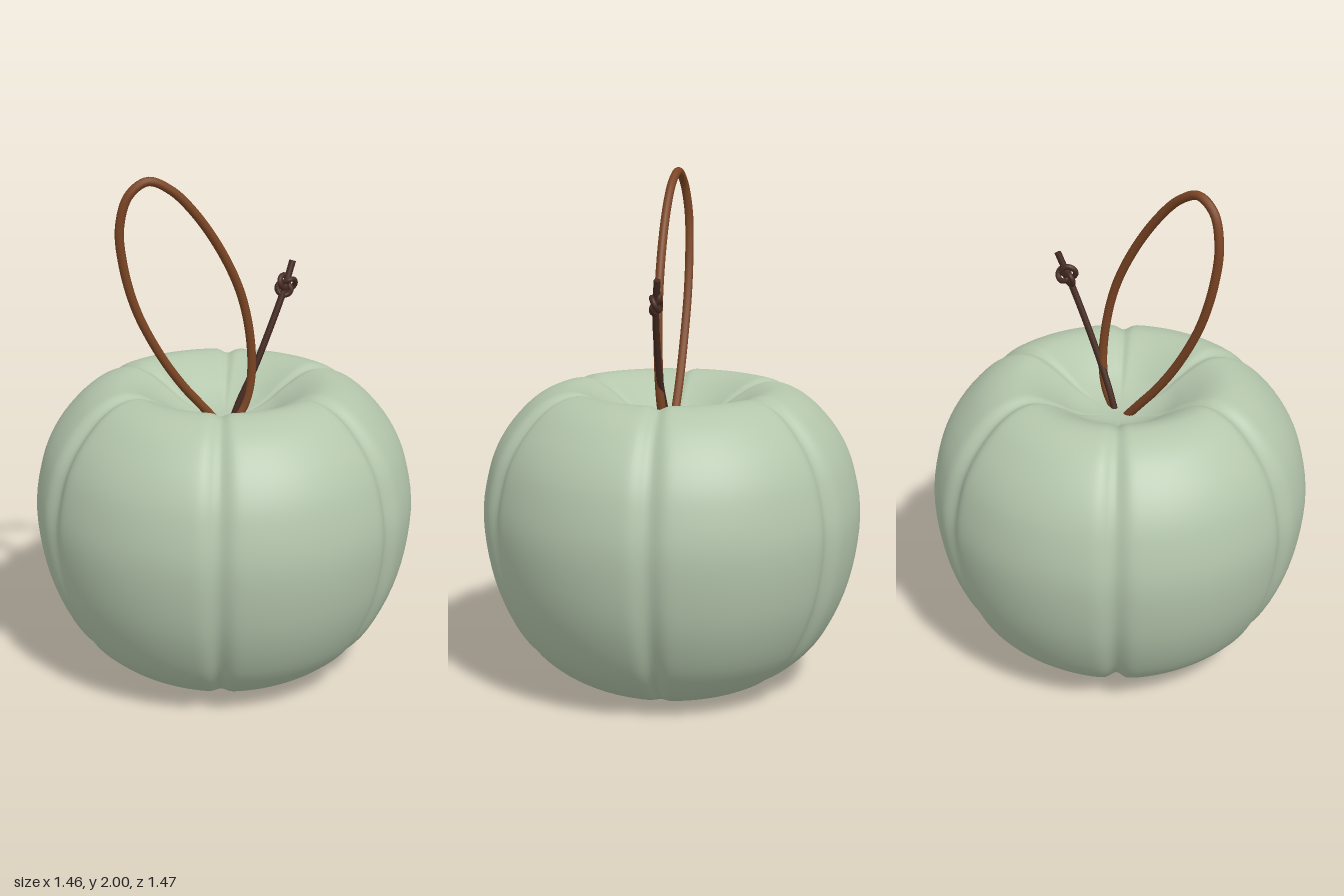
import * as THREE from 'three';
import { mergeVertices } from 'three/addons/utils/BufferGeometryUtils.js';

const material = (name, color) => new THREE.MeshStandardMaterial({ name, color });
const v2 = (p) => new THREE.Vector2(p[0], p[1]);
const v3 = (p) => new THREE.Vector3(...p);

// Apple-shaped body: a turned profile with six grooves pressed in along the normal
function bodyGeometry() {
  const profile = new THREE.SplineCurve([
    [0, 0.05], [0.1, 0.04], [0.2, 0.012], [0.28, 0.003], [0.38, 0.03], [0.5, 0.105], [0.61, 0.225],
    [0.7, 0.43], [0.737, 0.67], [0.71, 0.86], [0.655, 0.99], [0.57, 1.095], [0.49, 1.152],
    [0.41, 1.173], [0.34, 1.158], [0.26, 1.113], [0.18, 1.06], [0.1, 1.03], [0, 1.02],
  ].map(v2)).getPoints(90);
  profile[0].x = profile[90].x = 0;
  const geo = new THREE.LatheGeometry(profile, 288);
  const pos = geo.attributes.position, nor = geo.attributes.normal;
  const step = Math.PI / 3;
  for (let i = 0; i < pos.count; i++) {
    const x = pos.getX(i), y = pos.getY(i), z = pos.getZ(i);
    const r = Math.hypot(x, z);
    const angle = Math.atan2(z, x);
    const off = angle - Math.round(angle / step) * step;
    const fade = y < 0.6 ? THREE.MathUtils.smoothstep(r, 0.26, 0.5) : THREE.MathUtils.smoothstep(r, 0.02, 0.65);
    const d = 0.024 * fade * Math.exp(-((off / 0.06) ** 2));
    pos.setXYZ(i, x - nor.getX(i) * d, y - nor.getY(i) * d, z - nor.getZ(i) * d);
  }
  // Weld the seam so the smooth normals run all the way round
  geo.deleteAttribute('uv');
  geo.deleteAttribute('normal');
  const welded = mergeVertices(geo, 1e-5);
  welded.computeVertexNormals();
  return welded;
}

// Round cord along a smooth path, with closed ends
function cord(name, points, radius, segments, mat) {
  const group = new THREE.Group();
  group.name = name;
  const curve = new THREE.CatmullRomCurve3(points.map(v3));
  group.add(new THREE.Mesh(new THREE.TubeGeometry(curve, segments, radius, 12), mat));
  for (const t of [0, 1]) {
    const cap = new THREE.Mesh(new THREE.CircleGeometry(radius, 12), mat);
    const out = curve.getTangent(t).multiplyScalar(t ? 1 : -1);
    cap.position.copy(curve.getPoint(t));
    cap.quaternion.setFromUnitVectors(new THREE.Vector3(0, 0, 1), out);
    group.add(cap);
  }
  group.children.forEach((m) => { m.name = name; });
  return group;
}

export function createModel() {
  const sage = material('sage green', 0xb4c6ac);
  const leather = material('leather brown', 0x7b4524);
  const dark = material('dark brown', 0x452a21);
  const model = new THREE.Group();
  model.name = 'appleOrnament';

  const body = new THREE.Mesh(bodyGeometry(), sage);
  body.name = 'body';
  model.add(body);

  // Tall leaning hanging loop
  model.add(cord('hangingLoop', [
    [-0.03, 1.01, 0.0], [-0.09, 1.08, -0.005], [-0.175, 1.18, -0.01], [-0.27, 1.32, -0.015], [-0.36, 1.5, -0.02],
    [-0.41, 1.68, -0.02], [-0.422, 1.82, -0.015], [-0.39, 1.935, 0], [-0.32, 1.982, 0.014], [-0.235, 1.945, 0.028],
    [-0.14, 1.85, 0.038], [-0.03, 1.69, 0.044], [0.05, 1.52, 0.045], [0.092, 1.34, 0.042], [0.1, 1.18, 0.035],
    [0.08, 1.08, 0.028], [0.04, 1.01, 0.02],
  ], 0.017, 160, leather));

  // Loose cord end
  model.add(cord('cordTail', [
    [0.03, 1.01, 0.01], [0.06, 1.09, 0.018], [0.11, 1.2, 0.03], [0.18, 1.36, 0.034],
    [0.245, 1.51, 0.03], [0.29, 1.62, 0.018],
  ], 0.013, 48, dark));

  // Knot tied near the end of the tail
  const knot = new THREE.Mesh(new THREE.TorusKnotGeometry(0.027, 0.0105, 96, 10, 2, 3), dark);
  knot.name = 'cordKnot';
  knot.position.set(0.255, 1.53, 0.028);
  model.add(knot);

  return model;
}
